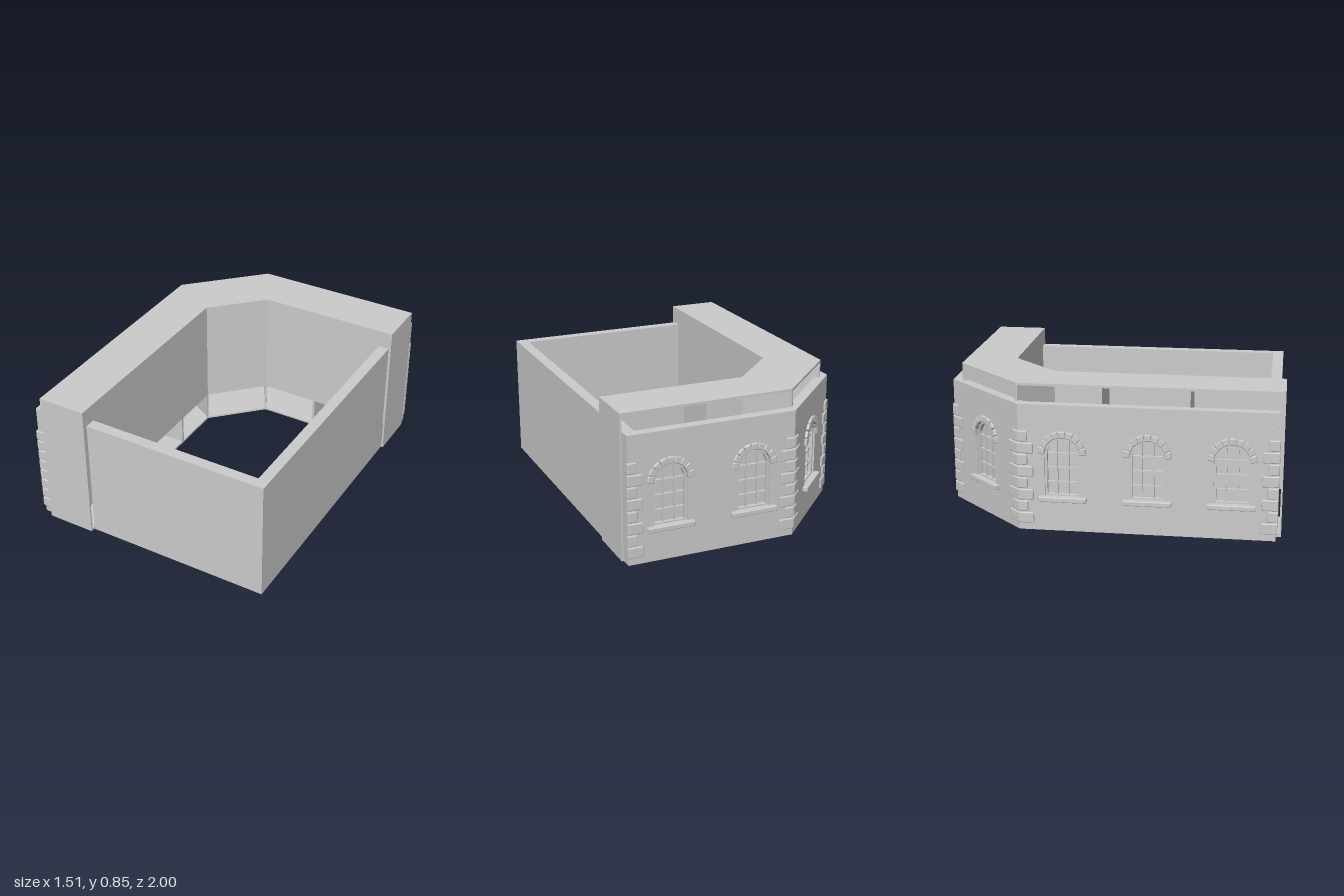
import * as THREE from 'three';
import { RoundedBoxGeometry } from 'three/addons/geometries/RoundedBoxGeometry.js';

const material = new THREE.MeshStandardMaterial({ color: 0xcccccc });
const WALL_H = 0.74, WALL_T = 0.06, ROOF_Y = 0.845;
const SILL_Y = 0.2, SPRING_Y = 0.455, HALF_W = 0.1;

function add(parent, name, geometry, x = 0, y = 0, z = 0) {
  const mesh = new THREE.Mesh(geometry, material);
  mesh.name = name;
  mesh.position.set(x, y, z);
  parent.add(mesh);
  return mesh;
}

// Upright prism over a plan outline of [x, z] points
function prism(parent, name, points, y0, y1) {
  const shape = new THREE.Shape(points.map(([x, z]) => new THREE.Vector2(x, -z)));
  const geo = new THREE.ExtrudeGeometry(shape, { depth: y1 - y0, bevelEnabled: false });
  return add(parent, name, geo.rotateX(-Math.PI / 2), 0, y0, 0);
}

const mix = (a, b, t) => [a[0] + (b[0] - a[0]) * t, a[1] + (b[1] - a[1]) * t];

// Round-headed outline of a window opening
function archOutline(path, cx) {
  path.moveTo(cx - HALF_W, SILL_Y);
  path.lineTo(cx + HALF_W, SILL_Y);
  path.lineTo(cx + HALF_W, SPRING_Y);
  path.absarc(cx, SPRING_Y, HALF_W, 0, Math.PI, false);
  path.lineTo(cx - HALF_W, SILL_Y);
  return path;
}

function createWindow(cx) {
  const win = new THREE.Group();
  win.name = 'archedWindow';
  win.position.x = cx;

  const pane = archOutline(new THREE.Shape(), 0);
  add(win, 'pane', new THREE.ExtrudeGeometry(pane, { depth: 0.006, bevelEnabled: false, curveSegments: 16 }), 0, 0, -0.04);

  // Frame follows the opening
  const frame = archOutline(new THREE.Shape(), 0);
  const hole = new THREE.Path();
  const r = HALF_W - 0.014;
  hole.moveTo(-r, SILL_Y + 0.014);
  hole.lineTo(r, SILL_Y + 0.014);
  hole.lineTo(r, SPRING_Y);
  hole.absarc(0, SPRING_Y, r, 0, Math.PI, false);
  frame.holes.push(hole);
  add(win, 'frame', new THREE.ExtrudeGeometry(frame, { depth: 0.025, bevelEnabled: false, curveSegments: 16 }), 0, 0, -0.035);

  // Glazing bars
  for (const x of [-0.033, 0.033]) {
    const top = SPRING_Y + Math.sqrt(r * r - x * x);
    add(win, 'verticalBar', new THREE.BoxGeometry(0.009, top - SILL_Y, 0.016), x, (top + SILL_Y) / 2, -0.026);
  }
  for (const y of [0.285, 0.37, 0.455]) {
    add(win, 'horizontalBar', new THREE.BoxGeometry(2 * r, 0.009, 0.016), 0, y, -0.026);
  }

  // Arch stones
  const count = 9;
  for (let i = 0; i < count; i++) {
    const a = (Math.PI * (i + 0.5)) / count;
    const stone = add(win, 'archStone', new RoundedBoxGeometry(0.038, 0.04, 0.035, 1, 0.006),
      Math.cos(a) * 0.117, SPRING_Y + Math.sin(a) * 0.117, -0.003);
    stone.rotation.z = a;
  }

  add(win, 'sill', new RoundedBoxGeometry(0.275, 0.028, 0.05, 1, 0.005), 0, 0.192, 0.005);
  return win;
}

// Column of alternating corner stones; side is +1 when it grows along +x
function createQuoins(x, side, overhang, depth) {
  const quoins = new THREE.Group();
  quoins.name = 'cornerStones';
  for (let k = 0; k < 8; k++) {
    const w = (k % 2 ? 0.052 : 0.085) + overhang;
    add(quoins, 'cornerStone', new RoundedBoxGeometry(w, 0.063, depth, 1, 0.006),
      x + side * (w / 2 - overhang), 0.073 + k * 0.069, 0.011 - depth / 2);
  }
  return quoins;
}

// Wall from a to b, local +z facing out, with windows at the given distances
function createFacade(name, a, b, windows, endOverhang, endDepth) {
  const dx = b[0] - a[0], dz = b[1] - a[1], len = Math.hypot(dx, dz);
  const wall = new THREE.Group();
  wall.name = name;
  wall.position.set(a[0], 0, a[1]);
  wall.rotation.y = Math.atan2(-dz, dx);

  const shape = new THREE.Shape();
  shape.moveTo(0, 0);
  shape.lineTo(len, 0);
  shape.lineTo(len, WALL_H);
  shape.lineTo(0, WALL_H);
  for (const cx of windows) {
    shape.holes.push(archOutline(new THREE.Path(), cx));
    wall.add(createWindow(cx));
  }
  add(wall, 'wallPanel', new THREE.ExtrudeGeometry(shape, { depth: WALL_T, bevelEnabled: false, curveSegments: 16 }), 0, 0, -WALL_T);
  wall.add(createQuoins(0, 1, 0.004, 0.03));
  wall.add(createQuoins(len, -1, endOverhang, endDepth));
  return wall;
}

// One room of the gallery: plan corners outer A, outer B, inner B, inner A; open outward
function createRoom([oa, ob, ib, ia]) {
  const room = new THREE.Group();
  room.name = 'galleryRoom';
  prism(room, 'floor', [oa, ob, ib, ia], 0.003, 0.015);
  prism(room, 'roof', [oa, ob, ib, ia], ROOF_Y - 0.014, ROOF_Y);
  prism(room, 'innerWall', [ia, ib, mix(ib, ob, 0.04), mix(ia, oa, 0.04)], 0.19, ROOF_Y - 0.014);
  prism(room, 'partition', [oa, mix(oa, ob, 0.02), mix(ia, ib, 0.02), ia], 0.015, ROOF_Y - 0.014);
  prism(room, 'partition', [ob, mix(ob, oa, 0.02), mix(ib, ia, 0.02), ib], 0.015, ROOF_Y - 0.014);
  return room;
}

export function createModel() {
  const model = new THREE.Group();
  model.name = 'courtyardBuilding';

  // Outer walls with windows
  const c1 = [0.74, -0.97], c2 = [-0.25, -0.97], c3 = [-0.73, -0.48], c4 = [-0.73, 0.97];
  model.add(createFacade('backWall', c1, c2, [0.245, 0.74], 0.004, 0.03));
  model.add(createFacade('angledWall', c2, c3, [0.343], 0.004, 0.03));
  model.add(createFacade('windowSideWall', c3, c4, [0.25, 0.73, 1.2], 0.01, 0.07));

  // Plain walls
  add(model, 'frontWall', new THREE.BoxGeometry(1.12, WALL_H, 0.065), 0.18, WALL_H / 2, 0.9375);
  add(model, 'plainSideWall', new THREE.BoxGeometry(0.065, WALL_H, 1.94), 0.7075, WALL_H / 2, 0);

  // Gallery rooms follow the windowed walls
  const stations = [
    [[-0.67, 1], [-0.38, 1]],
    [[-0.67, 0.47], [-0.38, 0.47]],
    [[-0.67, -0.02], [-0.38, -0.02]],
    [[-0.67, -0.5], [-0.38, -0.33]],
    [[-0.26, -0.91], [-0.1, -0.61]],
    [[0.25, -0.91], [0.25, -0.61]],
    [[0.755, -0.91], [0.755, -0.61]],
  ];
  for (let i = 0; i < stations.length - 1; i++) {
    const [oa, ia] = stations[i], [ob, ib] = stations[i + 1];
    model.add(createRoom([oa, ob, ib, ia]));
  }
  return model;
}
